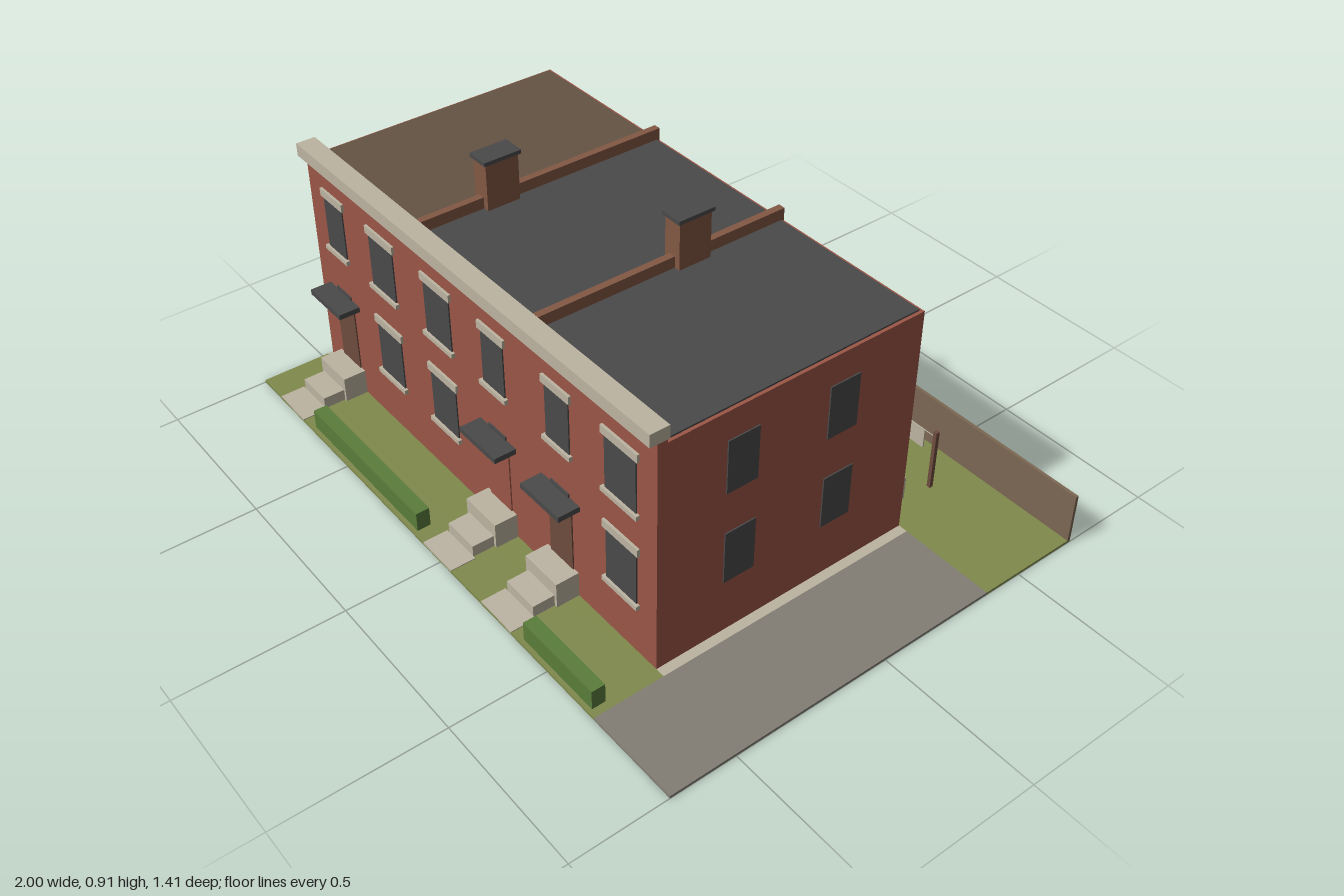
import * as THREE from 'three';

const mat = (name, color, extra = {}) => {
  const m = new THREE.MeshStandardMaterial({ color, ...extra });
  m.name = name;
  return m;
};

export function createModel() {
  const brick = mat('red brick', 0x9b5646);
  const darkBrick = mat('brown brick', 0x835844);
  const stone = mat('pale stone', 0xbdb4a2);
  const slate = mat('slate', 0x4a4a4b);
  const brownRoof = mat('brown roofing', 0x655444);
  const grass = mat('grass', 0x7f8a4c);
  const leaf = mat('foliage', 0x5a7d3b, { flatShading: true });
  const paving = mat('grey paving', 0x827e74);
  const fenceWood = mat('fence wood', 0x7c6853);
  const wood = mat('dark wood', 0x6e4c3e);

  const root = new THREE.Group();
  root.name = 'terracedHouses';

  // Box given by its min/max on each axis
  const box = (name, m, x0, x1, y0, y1, z0, z1) => {
    const mesh = new THREE.Mesh(new THREE.BoxGeometry(x1 - x0, y1 - y0, z1 - z0), m);
    mesh.position.set((x0 + x1) / 2, (y0 + y1) / 2, (z0 + z1) / 2);
    mesh.name = name;
    root.add(mesh);
    return mesh;
  };

  const L = -0.96, R = 0.67, F = 0.485, B = -0.375; // wall faces
  const T = 0.004;                                  // plate thickness

  // Ground tiles
  const G = 0.008;
  box('frontLawn', grass, -1, 0.7, 0, G, F, 0.705);
  box('backLawn', grass, -1, 1, 0, G, -0.705, B);
  box('leftPath', stone, -1, L, 0, G, B, F);
  box('rightPath', stone, R, 0.7, 0, G, B, F);
  box('driveway', paving, 0.7, 1, 0, G, B, 0.705);

  // Walls, roofs and cornice
  box('walls', brick, L, R, 0, 0.745, B, F);
  box('frontParapet', brick, L, R, 0.745, 0.757, 0.455, F);
  box('cornice', stone, L - 0.003, R + 0.002, 0.757, 0.797, 0.45, 0.51);
  box('brownRoof', brownRoof, -0.95, -0.43, 0.745, 0.75, -0.365, 0.455);
  box('middleRoof', slate, -0.41, 0.115, 0.745, 0.75, -0.365, 0.455);
  box('endRoof', slate, 0.135, 0.66, 0.745, 0.75, -0.365, 0.455);

  // Party walls with chimneys
  for (const [x, z] of [[-0.42, 0.185], [0.125, -0.047]]) {
    box('partyWall', darkBrick, x - 0.011, x + 0.011, 0.745, 0.785, B, 0.45);
    box('chimney', darkBrick, x - 0.03, x + 0.03, 0.745, 0.895, z - 0.053, z + 0.053);
    box('chimneyCap', slate, x - 0.036, x + 0.036, 0.895, 0.907, z - 0.06, z + 0.06);
  }

  // Front windows with lintel and sill
  const frontWindow = (x, y, w) => {
    box('frontWindow', slate, x - w / 2, x + w / 2, y, y + 0.17, F, F + T);
    box('lintel', stone, x - w / 2 - 0.01, x + w / 2 + 0.01, y + 0.17, y + 0.195, F, F + 0.008);
    box('sill', stone, x - w / 2 - 0.01, x + w / 2 + 0.01, y - 0.012, y + 0.002, F, F + 0.012);
  };
  const columns = [[-0.825, 0.1], [-0.565, 0.125], [-0.28, 0.125], [-0.015, 0.1], [0.27, 0.1], [0.53, 0.125]];
  columns.forEach(([x, w]) => frontWindow(x, 0.485, w));
  [-0.565, -0.28, 0.53].forEach((x) => frontWindow(x, 0.18, 0.125));

  // Front doors with transom, canopy, steps and path
  for (const [x, m] of [[-0.825, wood], [-0.015, brick], [0.27, wood]]) {
    box('frontDoor', m, x - 0.05, x + 0.05, 0.09, 0.3, F, F + T);
    box('transom', slate, x - 0.04, x + 0.04, 0.307, 0.347, F, F + T);
    box('canopy', slate, x - 0.084, x + 0.084, 0.318, 0.335, F, 0.553);
    box('upperStep', stone, x - 0.07, x + 0.07, 0, 0.09, F, 0.558);
    box('lowerStep', stone, x - 0.06, x + 0.06, 0, 0.045, 0.558, 0.627);
    box('frontPath', stone, x - 0.07, x + 0.07, 0.004, 0.011, 0.627, 0.705);
  }

  // Side windows on both end walls
  for (const z of [0.222, -0.11]) for (const y of [0.185, 0.487]) {
    box('rightSideWindow', slate, R, R + T, y, y + 0.168, z - 0.05, z + 0.05);
    box('leftSideWindow', slate, L - T, L, y, y + 0.168, z - 0.05, z + 0.05);
  }

  // Back windows, doors and stoops
  const backWindow = (x, y) => box('backWindow', slate, x - 0.05, x + 0.05, y, y + 0.17, B - T, B);
  columns.forEach(([x]) => backWindow(x, 0.485));
  [-0.825, -0.28, 0.27].forEach((x) => backWindow(x, 0.185));
  for (const [x, m] of [[-0.555, wood], [-0.015, brick], [0.533, wood]]) {
    box('backDoor', m, x - 0.05, x + 0.05, 0.09, 0.32, B - T, B);
    box('backStoop', stone, x - 0.066, x + 0.066, 0, 0.088, -0.464, B);
  }

  // Garden fences
  box('backFence', fenceWood, -1, 1, 0, 0.168, -0.707, -0.697);
  box('sideFence', fenceWood, -1, -0.992, 0, 0.168, -0.697, B);
  for (const x of [-0.42, 0.125]) box('dividingFence', fenceWood, x - 0.004, x + 0.004, 0, 0.148, -0.697, B);

  // Washing lines
  const Z = -0.56;
  for (const [x0, x1] of [[-0.905, -0.48], [0.18, 0.607]]) {
    for (const x of [x0, x1]) box('linePost', wood, x - 0.006, x + 0.006, 0, 0.21, Z - 0.006, Z + 0.006);
    box('washingLine', stone, x0, x1, 0.188, 0.19, Z - 0.001, Z + 0.001);
    for (let i = 0; i < 4; i++) {
      const x = x0 + 0.07 + i * 0.095;
      box('laundry', stone, x - 0.03, x + 0.03, 0.105 + (i % 2) * 0.02, 0.189, Z - 0.002, Z + 0.002);
    }
  }

  // Front hedges
  box('longHedge', leaf, -0.705, -0.135, 0, 0.07, 0.65, 0.692);
  box('shortHedge', leaf, 0.38, 0.675, 0, 0.07, 0.65, 0.692);

  // Tree
  const trunk = new THREE.Mesh(new THREE.CylinderGeometry(0.014, 0.018, 0.18, 6), wood);
  trunk.position.set(-0.145, 0.09, -0.545);
  trunk.name = 'treeTrunk';
  const crown = new THREE.Mesh(new THREE.SphereGeometry(0.13, 7, 4), leaf);
  crown.scale.y = 0.88;
  crown.rotation.y = Math.PI;
  crown.position.set(-0.145, 0.24, -0.545);
  crown.name = 'treeCrown';
  root.add(trunk, crown);

  return root;
}
